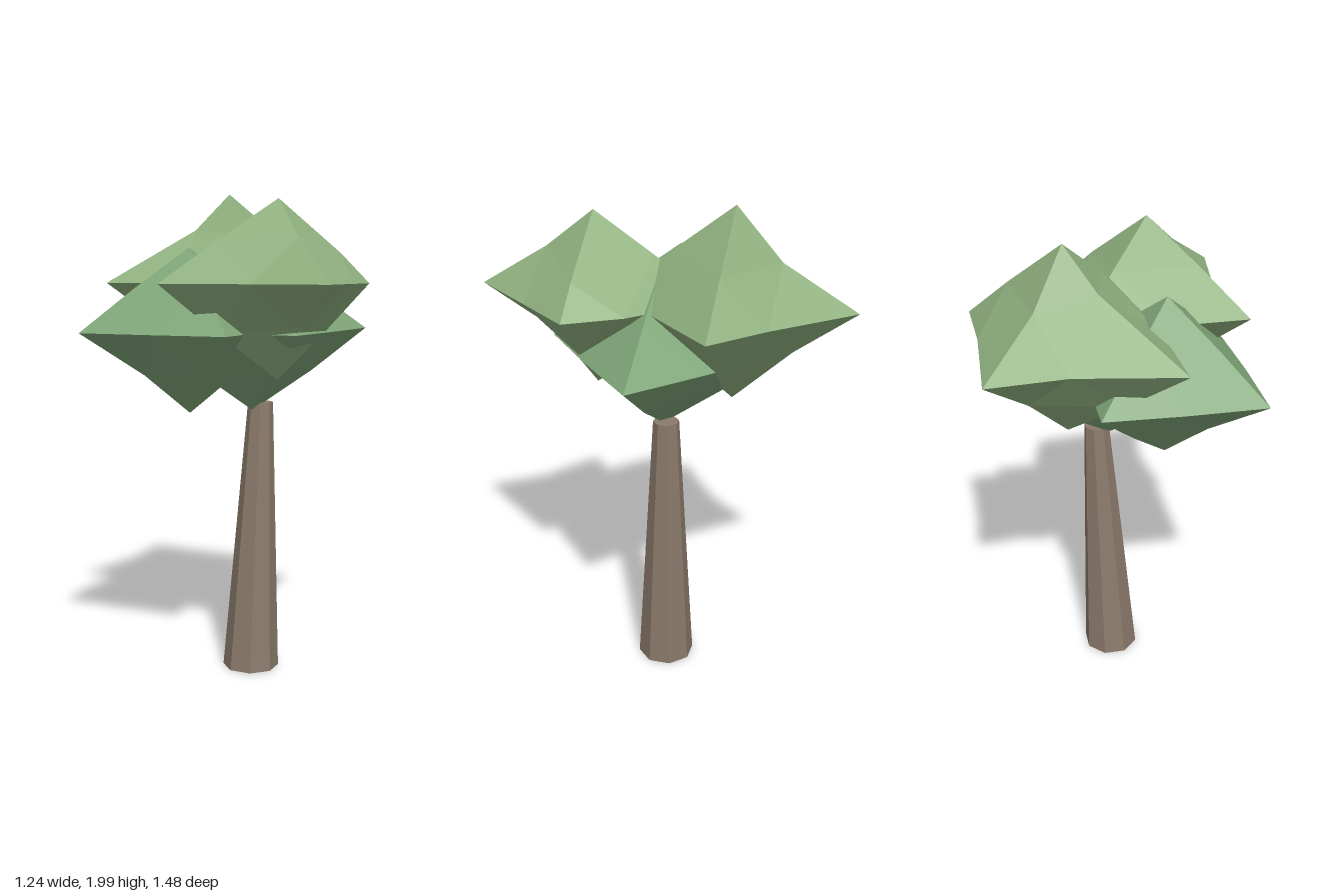
import * as THREE from 'three';

const material = (color) => new THREE.MeshStandardMaterial({ color, flatShading: true });

// Faceted leaf clump: an uneven octahedron, each face split in four.
// reach gives the distance from the centre to each of the six tips;
// dents gives edge points as fractions of their two tips (default halfway).
function leafClump(name, mat, center, reach, dents = {}) {
  const positions = [];
  for (const sx of [-1, 1]) for (const sy of [-1, 1]) for (const sz of [-1, 1]) {
    const tip = (axis, sign) => {
      const v = new THREE.Vector3();
      v[axis] = sign * reach[axis][sign < 0 ? 0 : 1];
      return v;
    };
    const sign = { x: sx, y: sy, z: sz };
    const mid = (a, b) => {
      const key = a + (sign[a] < 0 ? '-' : '+') + b + (sign[b] < 0 ? '-' : '+');
      const [fa, fb] = dents[key] ?? [0.51, 0.51];
      return tip(a, sign[a]).multiplyScalar(fa).addScaledVector(tip(b, sign[b]), fb);
    };
    const [X, Y, Z] = [tip('x', sx), tip('y', sy), tip('z', sz)];
    const [xy, yz, xz] = [mid('x', 'y'), mid('y', 'z'), mid('x', 'z')];
    for (const [a, b, c] of [[X, xy, xz], [xy, Y, yz], [xz, yz, Z], [xy, yz, xz]]) {
      for (const v of sx * sy * sz > 0 ? [a, b, c] : [a, c, b]) positions.push(v.x, v.y, v.z);
    }
  }
  const geometry = new THREE.BufferGeometry();
  geometry.setAttribute('position', new THREE.Float32BufferAttribute(positions, 3));
  geometry.computeVertexNormals();
  const mesh = new THREE.Mesh(geometry, mat);
  mesh.name = name;
  mesh.position.set(...center);
  return mesh;
}

export function createModel() {
  const tree = new THREE.Group();
  tree.name = 'tree';
  const bark = material(0x8b7a6b);
  const lightLeaf = material(0x8fb07f);
  const darkLeaf = material(0x7fa578);

  // Trunk: eight-sided taper, leaning a little towards +x
  const height = 1.13;
  const trunkGeometry = new THREE.CylinderGeometry(0.052, 0.117, height, 8);
  trunkGeometry.rotateY(Math.PI / 8);
  trunkGeometry.translate(0, height / 2, 0);
  const p = trunkGeometry.attributes.position;
  for (let i = 0; i < p.count; i++) {
    const t = p.getY(i) / height;
    p.setX(i, p.getX(i) + 0.046 * t);
    p.setZ(i, p.getZ(i) - 0.015 * t);
  }
  trunkGeometry.computeVertexNormals();
  const trunk = new THREE.Mesh(trunkGeometry, bark);
  trunk.name = 'trunk';
  trunk.position.set(0.1, 0.01, -0.008);
  tree.add(trunk);

  // Upper crown: one clump behind, one in front
  tree.add(leafClump('upperBackLeaves', lightLeaf, [0.1, 1.63, -0.275],
    { x: [0.54, 0.465], y: [0.38, 0.37], z: [0.465, 0.465] },
    {
      'x-y+': [0.28, 0.59], 'x+y+': [0.56, 0.46],
      'x-z-': [0.37, 0.51], 'x+z-': [0.58, 0.38],
      'y+z-': [0.46, 0.38], 'y-z-': [0.45, 0.49],
    }));
  tree.add(leafClump('upperFrontLeaves', lightLeaf, [0.1, 1.63, 0.27],
    { x: [0.48, 0.39], y: [0.37, 0.32], z: [0.465, 0.465] },
    {
      'x+y+': [0.68, 0.36], 'x+z-': [0.69, 0.43],
      'x-z+': [0.4, 0.45], 'x+z+': [0.54, 0.46],
      'y+z+': [0.53, 0.41], 'y-z+': [0.44, 0.39],
    }));

  // Lower crown: two overlapping clumps either side of the trunk
  tree.add(leafClump('lowerRightLeaves', darkLeaf, [-0.17, 1.44, 0],
    { x: [0.45, 0.42], y: [0.33, 0.33], z: [0.43, 0.43] },
    { 'x-y-': [0.42, 0.52] }));
  tree.add(leafClump('lowerLeftLeaves', darkLeaf, [0.1, 1.44, 0],
    { x: [0.45, 0.515], y: [0.33, 0.33], z: [0.45, 0.45] },
    { 'x+y-': [0.52, 0.52] }));

  return tree;
}
